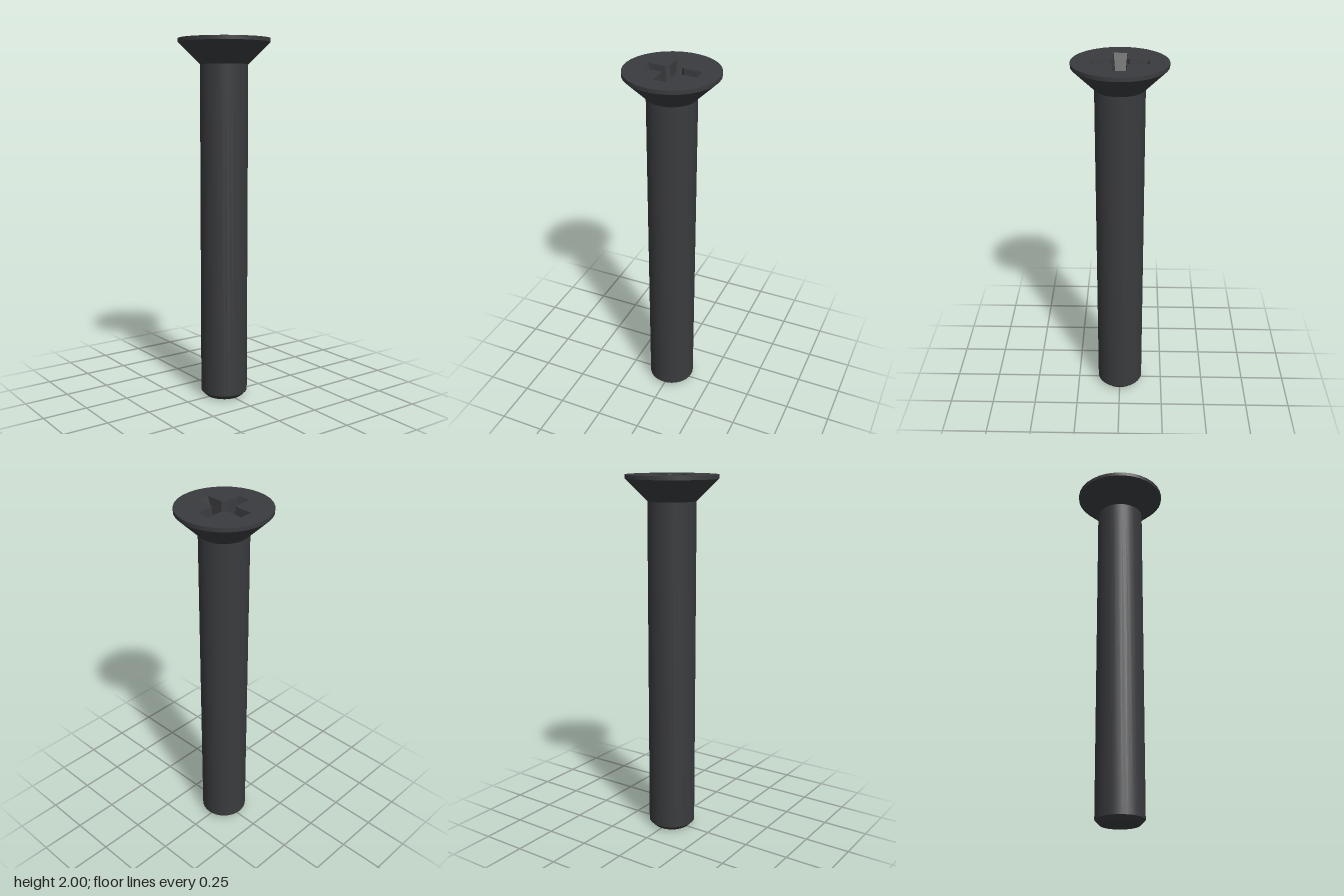
import * as THREE from 'three';
import { toCreasedNormals } from 'three/addons/utils/BufferGeometryUtils.js';

const SIDES = 32;
const HEAD_R = 0.25, SHAFT_R = 0.131, NECK_Y = 1.862, TOP_Y = 2;
const FLOOR_Y = 1.87, TIP_R = 0.05, TIP_DEPTH = 0.02;

// Outline of the cross recess: four arms joined by chamfered inner corners
function crossOutline(length, w, inner, bulge) {
  const points = [];
  for (let i = 0; i < 4; i++) {
    const arm = [[length, -w], [length, w], [inner, w], [bulge, bulge], [w, inner]];
    for (const [x, y] of arm) {
      points.push(new THREE.Vector2(x, y).rotateAround(new THREE.Vector2(), i * Math.PI / 2));
    }
  }
  return points;
}

// Sloping walls between two outlines, facing the inside of the recess
function recessWalls(top, bottom, topZ, bottomZ) {
  const positions = [];
  top.forEach((t, i) => {
    const j = (i + 1) % top.length;
    const a = [bottom[i].x, bottom[i].y, bottomZ], b = [bottom[j].x, bottom[j].y, bottomZ];
    const c = [top[j].x, top[j].y, topZ], d = [t.x, t.y, topZ];
    positions.push(...a, ...c, ...b, ...a, ...d, ...c);
  });
  const geometry = new THREE.BufferGeometry();
  geometry.setAttribute('position', new THREE.Float32BufferAttribute(positions, 3));
  geometry.computeVertexNormals();
  return geometry;
}

export function createModel() {
  const screw = new THREE.Group();
  screw.name = 'screw';
  const material = new THREE.MeshStandardMaterial({ color: 0x3a3b3e });

  const add = (name, geometry) => {
    const mesh = new THREE.Mesh(geometry, material);
    mesh.name = name;
    screw.add(mesh);
    return mesh;
  };
  const lathe = (profile) => toCreasedNormals(
    new THREE.LatheGeometry(profile.map(([r, y]) => new THREE.Vector2(r, y)), SIDES), 0.5);

  // Plain shaft with a chamfered end
  add('shaft', lathe([[0, 0], [0.105, 0], [SHAFT_R, 0.026], [SHAFT_R, NECK_Y]]));

  // Countersunk head with a thin rim
  add('head', lathe([[SHAFT_R, NECK_Y], [HEAD_R, 1.979], [HEAD_R, TOP_Y]]));

  // Flat top face with the cross cut out
  const topOutline = crossOutline(0.146, 0.035, 0.05, 0.0425);
  const bottomOutline = crossOutline(0.088, 0.023, 0.0444, TIP_R * Math.SQRT1_2);
  const rim = [];
  for (let i = 0; i < SIDES; i++) {
    const a = i / SIDES * Math.PI * 2;
    rim.push(new THREE.Vector2(Math.cos(a) * HEAD_R, Math.sin(a) * HEAD_R));
  }
  const face = new THREE.Shape(rim);
  face.holes.push(new THREE.Path(topOutline.slice().reverse()));
  add('headFace', new THREE.ShapeGeometry(face).rotateX(-Math.PI / 2).translate(0, TOP_Y, 0));

  // Tapered walls of the recess
  add('recessWalls', recessWalls(topOutline, bottomOutline, TOP_Y, FLOOR_Y).rotateX(-Math.PI / 2));

  // Flat floor of each arm, rounded where it meets the centre
  const half = Math.asin(0.023 / TIP_R);
  const floor = new THREE.Shape();
  floor.moveTo(0.088, -0.023);
  floor.lineTo(0.088, 0.023);
  floor.lineTo(TIP_R * Math.cos(half), 0.023);
  floor.absarc(0, 0, TIP_R, half, -half, true);
  for (let i = 0; i < 4; i++) {
    const geometry = new THREE.ShapeGeometry(floor, 8).rotateX(-Math.PI / 2);
    geometry.rotateY(i * Math.PI / 2).translate(0, FLOOR_Y, 0);
    add('recessFloor', geometry);
  }

  // Shallow conical pit in the middle
  add('recessPit', lathe([[0, FLOOR_Y - TIP_DEPTH], [TIP_R, FLOOR_Y]].reverse().map(
    ([r, y]) => [r, y])));

  return screw;
}
